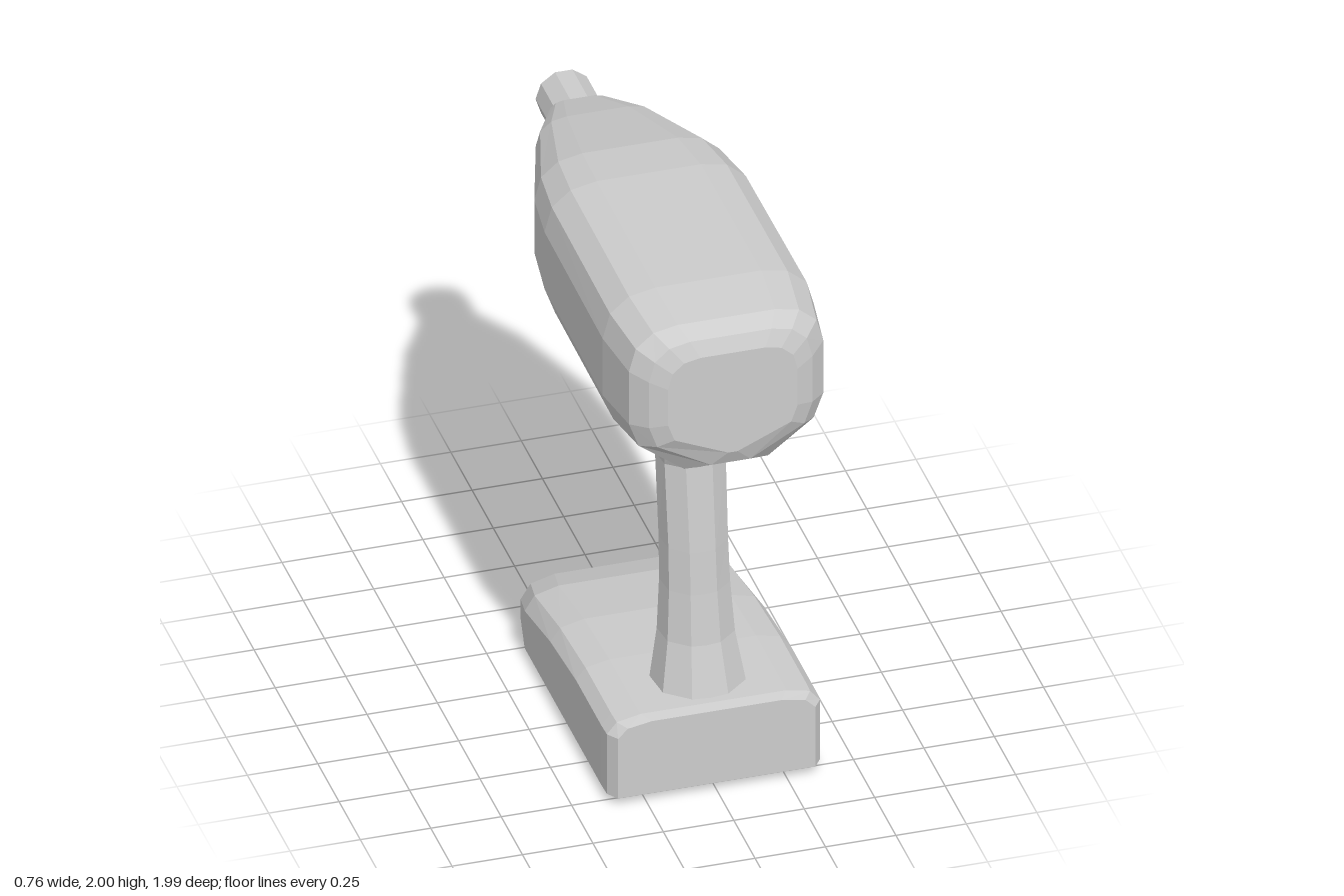
import * as THREE from 'three';

const material = new THREE.MeshStandardMaterial({ color: 0xcccccc, flatShading: true });

// Skin closed rings of [x, y, z] points and cap both ends.
function loft(rings) {
  const n = rings[0].length;
  const position = rings.flat(2);
  let index = [];
  for (let r = 0; r < rings.length - 1; r++) {
    for (let i = 0; i < n; i++) {
      const j = (i + 1) % n, a = r * n, b = a + n;
      index.push(a + i, a + j, b + j, a + i, b + j, b + i);
    }
  }
  [0, rings.length - 1].forEach((r) => {
    const centre = position.length / 3;
    for (let k = 0; k < 3; k++) position.push(rings[r].reduce((s, p) => s + p[k], 0) / n);
    for (let i = 0; i < n; i++) {
      const a = r * n + i, b = r * n + (i + 1) % n;
      index.push(centre, ...(r ? [a, b] : [b, a]));
    }
  });
  // Turn the faces outward if the rings run the other way round
  const v = (i) => new THREE.Vector3().fromArray(position, i * 3);
  let volume = 0;
  for (let i = 0; i < index.length; i += 3) {
    volume += v(index[i]).dot(v(index[i + 1]).cross(v(index[i + 2])));
  }
  if (volume < 0) index = index.reverse();
  const geometry = new THREE.BufferGeometry();
  geometry.setAttribute('position', new THREE.Float32BufferAttribute(position, 3));
  geometry.setIndex(index);
  geometry.computeVertexNormals();
  return geometry;
}

// Complete a half outline (x >= 0) with its mirror image.
function mirrored(half) {
  const other = half.filter(([x]) => x > 1e-6).reverse().map(([x, ...rest]) => [-x, ...rest]);
  return [...half, ...other];
}

export function createModel() {
  const group = new THREE.Group();
  const add = (name, geometry) => {
    const mesh = new THREE.Mesh(geometry, material);
    mesh.name = name;
    group.add(mesh);
    return mesh;
  };

  // Motor housing: one outline scaled along z
  const outline = [[0, 1], [0.5, 1], [0.75, 0.97], [0.93, 0.88], [1, 0.73],
    [1, 0.37], [0.9, 0.21], [0.48, 0], [0, 0]];
  // z, half width, bottom, top, narrowing of the underside
  const housing = [
    [0.99, 0.23, 1.48, 1.88, 0.15], [0.965, 0.29, 1.425, 1.935, 0.5],
    [0.91, 0.345, 1.39, 1.975, 0.9], [0.7, 0.375, 1.365, 2, 1],
    [0, 0.37, 1.365, 2, 1], [-0.22, 0.34, 1.39, 1.975, 1],
    [-0.6, 0.22, 1.515, 1.88, 1], [-0.82, 0.11, 1.605, 1.8, 1],
  ];
  add('motorHousing', loft(housing.map(([z, w, low, high, pinch]) => mirrored(
    outline.map(([x, t]) => [x * w * (t === 0 ? pinch : 1), low + t * (high - low), z])))));

  // Hollow ten-sided output socket
  const socketProfile = [[0, 0.06], [0.066, 0.06], [0.066, 0.18], [0.1, 0.18], [0.1, -0.04]]
    .reverse().map(([r, y]) => new THREE.Vector2(r, y));
  const socket = add('outputSocket',
    new THREE.LatheGeometry(socketProfile, 10, Math.PI / 2));
  socket.rotation.x = -Math.PI / 2;
  socket.position.set(0, 1.703, -0.82);

  // Handle: rounded section swept up a slight lean
  const gripOutline = [[0, 1], [0.4, 0.95], [0.92, 0.5], [1, -0.25], [0.8, -0.75], [0.3, -1]];
  // y, half width, rear z, front z
  const grip = [
    [0.3, 0.165, 0.74, 0.42], [0.51, 0.13, 0.68, 0.43], [0.7, 0.118, 0.655, 0.425],
    [0.86, 0.115, 0.64, 0.41], [1.18, 0.118, 0.6, 0.383], [1.365, 0.14, 0.69, 0.34],
    [1.45, 0.15, 0.73, 0.32],
  ];
  add('handle', loft(grip.map(([y, w, rear, front]) => mirrored(
    gripOutline.map(([x, t]) => [x * w, y, (rear + front) / 2 + t * (rear - front) / 2])))));

  // Trigger with a curved finger face
  const shape = new THREE.Shape();
  shape.moveTo(0.42, 1.4);
  shape.lineTo(0.16, 1.4);
  [[0.19, 1.36], [0.232, 1.315], [0.248, 1.26], [0.236, 1.215], [0.232, 1.187],
    [0.37, 1.17], [0.42, 1.17]].forEach(([z, y]) => shape.lineTo(z, y));
  const trigger = new THREE.ExtrudeGeometry(shape, {
    depth: 0.07, bevelEnabled: true, bevelSize: 0.012, bevelOffset: -0.012,
    bevelThickness: 0.015, bevelSegments: 1,
  });
  trigger.translate(0, 0, -0.035);
  trigger.rotateY(-Math.PI / 2);
  add('trigger', trigger);

  // Battery base: flat pad with softened shoulders and a sloping nose
  // z, half width, underside, shoulder height, top
  const battery = [
    [0.8, 0.35, 0.03, 0.27, 0.32], [0.76, 0.378, 0.012, 0.27, 0.33],
    [0.7, 0.38, 0, 0.27, 0.33], [0.4, 0.38, 0, 0.27, 0.33], [0.1, 0.38, 0, 0.24, 0.31],
    [-0.2, 0.38, 0, 0.18, 0.26], [-0.38, 0.34, 0, 0.11, 0.19],
    [-0.45, 0.27, 0.03, 0.06, 0.1],
  ];
  add('batteryBase', loft(battery.map(([z, w, low, shoulder, top]) => mirrored([
    [0, top, z], [w - 0.12, top, z], [w - 0.035, shoulder + (top - shoulder) * 0.7, z],
    [w, shoulder, z], [w, 0.03, z], [w - 0.07, low, z], [0, low, z],
  ]))));

  return group;
}
